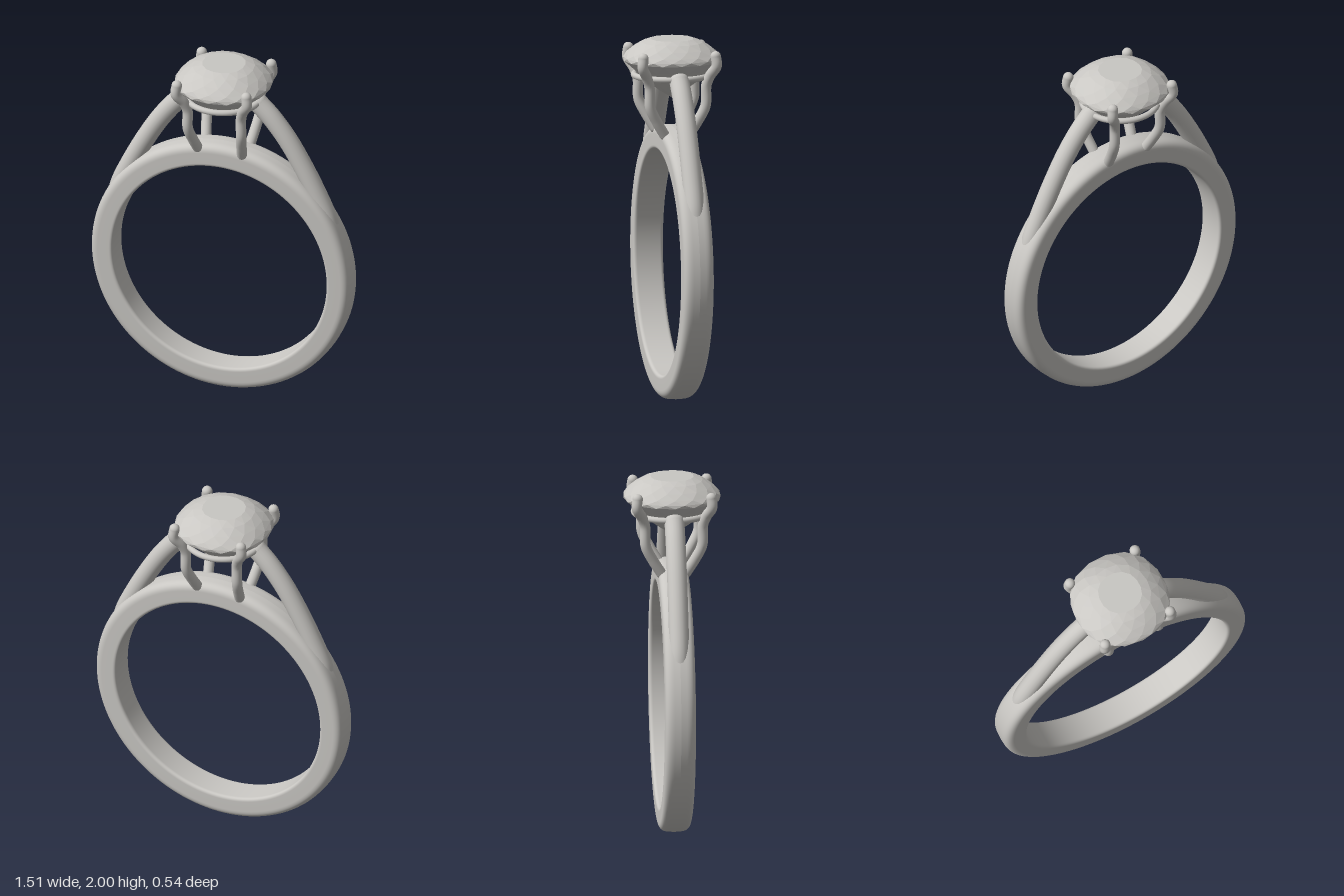
import * as THREE from 'three';

const metal = new THREE.MeshStandardMaterial({ color: 0xc9c7c3 });
metal.name = 'silver';
const stone = new THREE.MeshStandardMaterial({ color: 0xc9c7c3, flatShading: true });
stone.name = 'stone';

function addMesh(parent, geometry, name, material = metal) {
  const mesh = new THREE.Mesh(geometry, material);
  mesh.name = name;
  parent.add(mesh);
  return mesh;
}

// Round wire along a smooth path, with domed ends
function wire(name, points, radius) {
  const group = new THREE.Group();
  group.name = name;
  const path = points.map((p) => new THREE.Vector3(...p));
  const curve = new THREE.CatmullRomCurve3(path);
  addMesh(group, new THREE.TubeGeometry(curve, 48, radius, 20), name + 'Wire');
  for (const end of [path[0], path[path.length - 1]]) {
    addMesh(group, new THREE.SphereGeometry(radius, 20, 14), name + 'End').position.copy(end);
  }
  return group;
}

// Finger band: rounded section, softer on the outside, revolved about z
function bandGeometry() {
  const inner = 0.624, outer = 0.757, half = 0.084, ro = 0.05, ri = 0.02;
  const s = new THREE.Shape();
  s.moveTo(outer, 0);
  s.lineTo(outer - 0.002, half - ro);
  s.quadraticCurveTo(outer - 0.005, half, outer - ro, half);
  s.lineTo(inner + ri, half);
  s.quadraticCurveTo(inner, half, inner, half - ri);
  s.lineTo(inner, ri - half);
  s.quadraticCurveTo(inner, -half, inner + ri, -half);
  s.lineTo(outer - ro, -half);
  s.quadraticCurveTo(outer - 0.005, -half, outer - 0.002, ro - half);
  s.lineTo(outer, 0);
  return new THREE.LatheGeometry(s.getPoints(8), 128).rotateX(Math.PI / 2);
}

// Faceted stone: staggered 16-sided rings joined by triangles
function gemGeometry() {
  const n = 16;
  const levels = [
    [0.118, 2.0], [0.168, 1.982], [0.215, 1.952], [0.25, 1.922], [0.267, 1.9],
    [0.267, 1.882], [0.212, 1.832], [0.14, 1.765], [0.07, 1.713],
  ];
  const rings = levels.map(([r, y], k) => Array.from({ length: n }, (_, i) => {
    const a = ((i + 0.5 * (k + 1)) / n) * Math.PI * 2;
    const cushion = r * (1.02 - 0.018 * Math.cos(4 * a));
    return [cushion * Math.cos(a), y, cushion * Math.sin(a)];
  }));
  const pos = [];
  const tri = (...corners) => corners.forEach((c) => pos.push(...c));
  const last = rings[rings.length - 1];
  for (let i = 0; i < n; i++) {
    const j = (i + 1) % n;
    tri([0, 2, 0], rings[0][j], rings[0][i]);
    for (let k = 0; k < rings.length - 1; k++) {
      const up = rings[k], low = rings[k + 1];
      tri(up[i], up[j], low[i]);
      tri(up[j], low[j], low[i]);
    }
    tri([0, 1.67, 0], last[i], last[j]);
  }
  const g = new THREE.BufferGeometry();
  g.setAttribute('position', new THREE.Float32BufferAttribute(pos, 3));
  g.computeVertexNormals();
  return g;
}

export function createModel() {
  const ring = new THREE.Group();
  ring.name = 'solitaireRing';

  addMesh(ring, bandGeometry(), 'band').position.y = 0.757;
  addMesh(ring, gemGeometry(), 'gem', stone);

  // Thin rail under the stone
  const rail = addMesh(ring, new THREE.TorusGeometry(0.21, 0.017, 14, 64), 'galleryRail');
  rail.rotation.x = Math.PI / 2;
  rail.position.y = 1.8;

  for (const sx of [1, -1]) {
    const side = sx > 0 ? 'left' : 'right';
    // Curved shoulder rising from the band to the rail
    ring.add(wire(side + 'Shoulder', [
      [0.2, 1.787], [0.28, 1.707], [0.37, 1.59], [0.46, 1.44], [0.54, 1.285], [0.6, 1.15], [0.622, 1.07],
    ].map(([x, y]) => [sx * x, y, 0]), 0.055));
    // Claws: spread from the band, rise, then flare around the stone
    for (const sz of [1, -1]) {
      ring.add(wire(side + (sz > 0 ? 'Front' : 'Back') + 'Prong', [
        [0.13, 1.485, 0.07], [0.143, 1.56, 0.115], [0.156, 1.645, 0.155], [0.157, 1.76, 0.16],
        [0.174, 1.815, 0.178], [0.207, 1.872, 0.207], [0.203, 1.925, 0.203],
      ].map(([x, y, z]) => [sx * x, y, sz * z]), 0.029));
    }
  }
  return ring;
}
